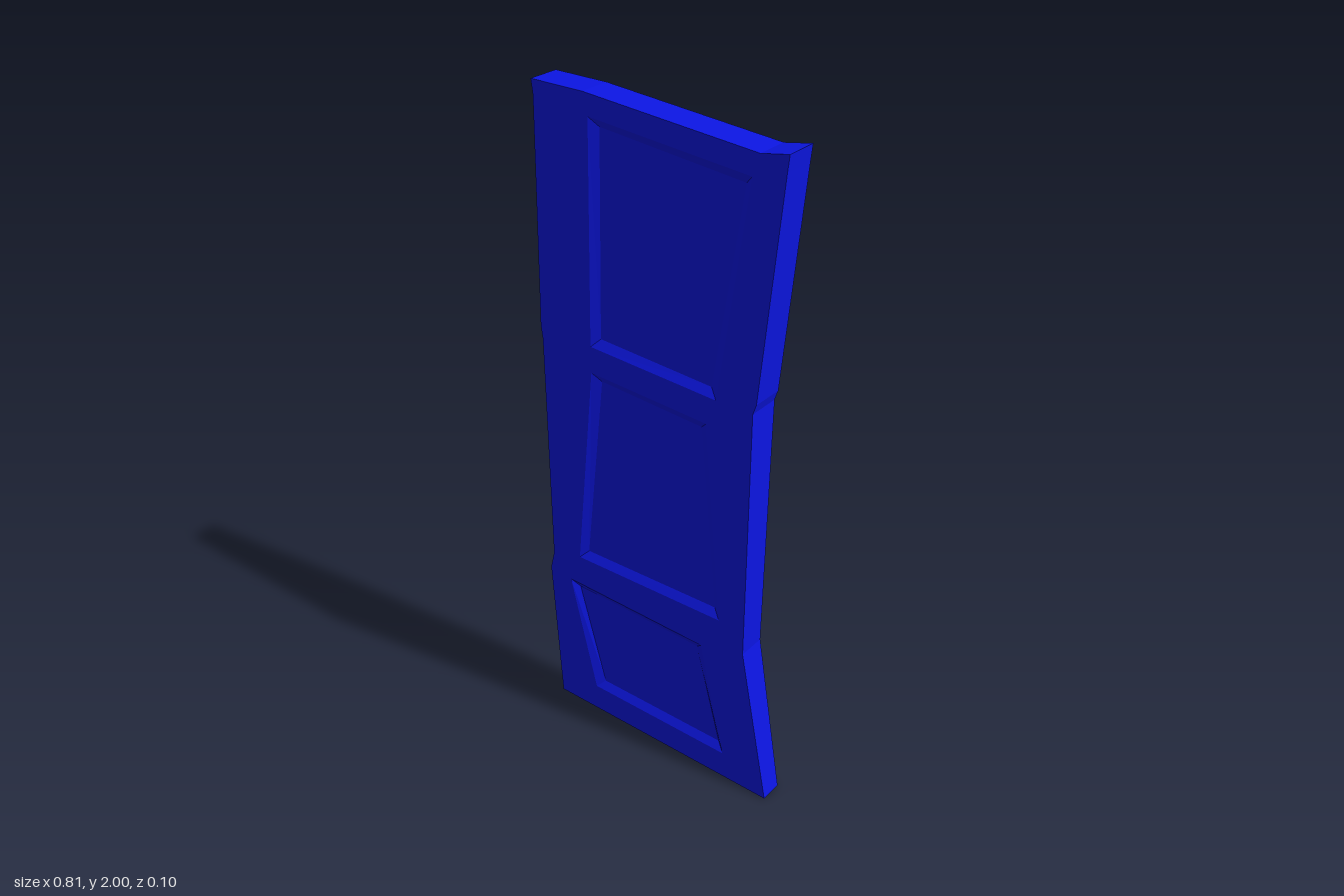
import * as THREE from 'three';
import { mergeGeometries } from 'three/addons/utils/BufferGeometryUtils.js';

// Crooked outline, counter-clockwise from the bottom left corner
const outline = [
  [-0.385, 0], [0.405, 0], [0.31, 0.5], [0.315, 1.28], [0.325, 1.31], [0.385, 1.93], [0.39, 1.975],
  [0.31, 1.96], [-0.22, 2], [-0.39, 2], [-0.385, 1.96], [-0.4, 1.31], [-0.395, 1.27], [-0.395, 0.54], [-0.41, 0.48],
];

// Sunken panels: rim on the front face, counter-clockwise from the bottom left
const panels = {
  upperPanel: [[-0.22, 1.3], [0.2, 1.28], [0.29, 1.9], [-0.205, 1.94]],
  middlePanel: [[-0.29, 0.57], [0.225, 0.58], [0.17, 1.2], [-0.22, 1.22]],
  lowerPanel: [[-0.24, 0.09], [0.25, 0.09], [0.165, 0.46], [-0.33, 0.47]],
};
const recess = 0.015;
const bevel = 0.025;

// The slab is thickest above its middle and thins towards the floor
const frontZ = (y) => 0.045 + 0.0025 * y;
function backZ(y) {
  if (y < 0.5) return -0.025 - 0.03 * y;
  if (y < 1.28) return -0.04 - 0.012 * (y - 0.5);
  return -0.049 + 0.007 * (y - 1.28);
}

const vectors = (points) => points.map(([x, y]) => new THREE.Vector2(x, y));
const place = (points, z) => points.map(([x, y]) => new THREE.Vector3(x, y, z(y)));

// Flat face across an outline, bent to the depth given by z(y)
function face(points, z, holes = [], flip = false) {
  const shape = new THREE.Shape(vectors(points));
  holes.forEach((hole) => shape.holes.push(new THREE.Path(vectors(hole))));
  const flat = new THREE.ShapeGeometry(shape).toNonIndexed();
  const p = flat.attributes.position;
  const corners = [];
  for (let i = 0; i < p.count; i += 3) {
    for (const k of flip ? [0, 2, 1] : [0, 1, 2]) {
      const y = p.getY(i + k);
      corners.push(new THREE.Vector3(p.getX(i + k), y, z(y)));
    }
  }
  return surface(corners);
}

// Band of quads between two matching loops
function band(a, b) {
  const corners = [];
  a.forEach((_, i) => {
    const j = (i + 1) % a.length;
    corners.push(a[i], a[j], b[j], a[i], b[j], b[i]);
  });
  return surface(corners);
}

function surface(corners) {
  const geometry = new THREE.BufferGeometry().setFromPoints(corners);
  geometry.computeVertexNormals();
  return geometry;
}

// Moves each corner of a four-sided rim towards the middle
function inset([a, b, c, d], m) {
  return [[a[0] + m, a[1] + m], [b[0] - m, b[1] + m], [c[0] - m, c[1] - m], [d[0] + m, d[1] - m]];
}

export function createModel() {
  const door = new THREE.Group();
  door.name = 'door';
  const material = new THREE.MeshStandardMaterial({ color: 0x0c16e4, flatShading: true });

  const add = (name, parts) => {
    const mesh = new THREE.Mesh(mergeGeometries(parts), material);
    mesh.name = name;
    door.add(mesh);
  };

  // Slab: pierced front, edges and plain back
  add('doorSlab', [
    face(outline, frontZ, Object.values(panels)),
    band(place(outline, backZ), place(outline, frontZ)),
    face(outline, backZ, [], true),
  ]);

  // Sloping borders and floors of the panels
  const floorZ = (y) => frontZ(y) - recess;
  for (const [name, rim] of Object.entries(panels)) {
    const floor = inset(rim, bevel);
    add(name, [band(place(rim, frontZ), place(floor, floorZ)), face(floor, floorZ)]);
  }
  return door;
}
